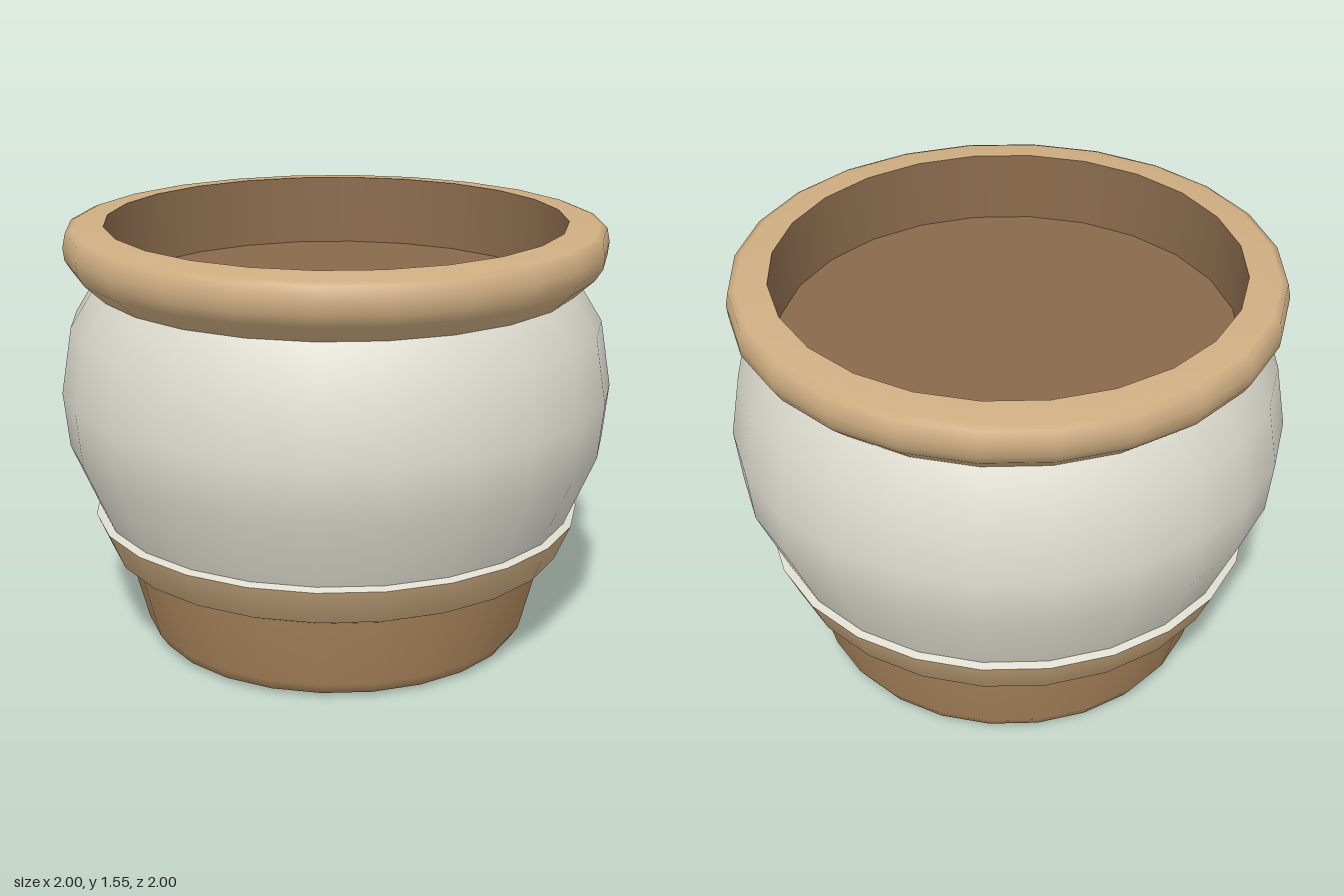
import * as THREE from 'three';

const SIDES = 24;

const paint = (name, color) => {
  const material = new THREE.MeshStandardMaterial({ color });
  material.name = name;
  return material;
};

// Turns a profile of [radius, height] pairs, listed so that faces point outward
function turned(name, material, profile) {
  const points = profile.map(([r, y]) => new THREE.Vector2(r, y));
  const mesh = new THREE.Mesh(new THREE.LatheGeometry(points, SIDES), material);
  mesh.name = name;
  return mesh;
}

export function createModel() {
  const clay = paint('brown clay', 0xae885e);
  const tan = paint('tan trim', 0xcfae82);
  const glaze = paint('off-white glaze', 0xdedccf);
  const soil = paint('dark brown inside', 0x896a4c);

  const pot = new THREE.Group();
  pot.name = 'pot';
  pot.add(
    // Tapered foot with a rounded lower edge
    turned('foot', clay, [[0, 0.005], [0.64, 0.005], [0.685, 0.02], [0.715, 0.065], [0.785, 0.335]]),
    // Flared band around the foot
    turned('lowerBand', tan, [[0.76, 0.33], [0.785, 0.33], [0.84, 0.357], [0.897, 0.49]]),
    // Narrow glazed ledge on top of the band
    turned('ledge', glaze, [[0.897, 0.49], [0.87, 0.5]]),
    // Bulging body
    turned('body', glaze, [[0.87, 0.5], [0.98, 0.76], [1, 0.96], [0.96, 1.2], [0.87, 1.345]]),
    // Rolled rim with a nearly flat top
    turned('rim', tan, [
      [0.86, 1.34], [0.875, 1.34], [0.945, 1.405], [0.97, 1.445], [0.975, 1.49],
      [0.965, 1.54], [0.94, 1.55], [0.83, 1.56],
    ]),
    // Inner wall and the filling inside the pot
    turned('innerWall', soil, [[0.83, 1.56], [0.82, 1.3]]),
    turned('filling', soil, [[0.82, 1.3], [0, 1.3]]),
  );
  return pot;
}
